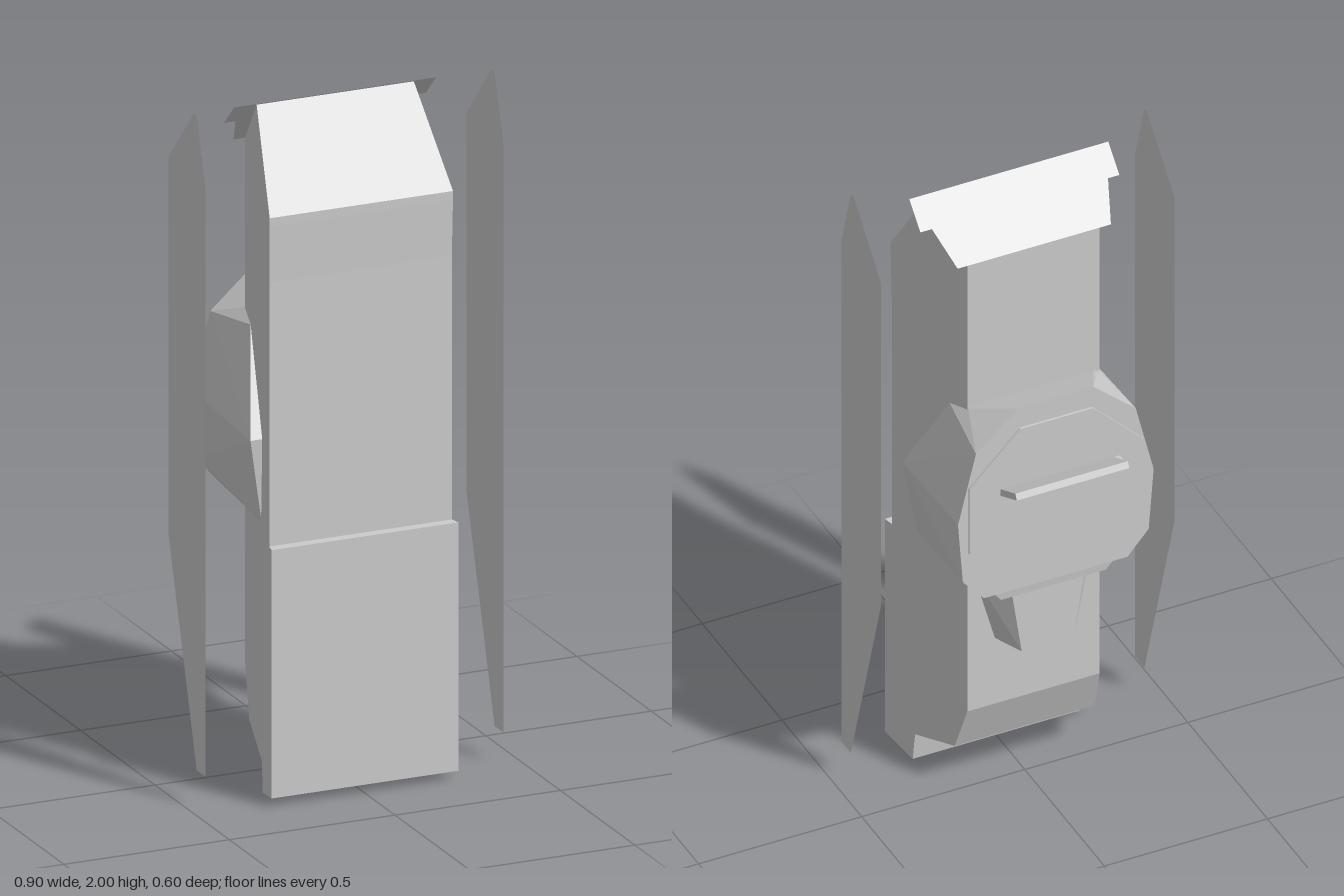
import * as THREE from 'three';
import { ConvexGeometry } from 'three/addons/geometries/ConvexGeometry.js';

const grey = new THREE.MeshStandardMaterial({ color: 0xcccccc, flatShading: true });
const thin = new THREE.MeshStandardMaterial({ color: 0xcccccc, flatShading: true, side: THREE.DoubleSide });

function shapeOf(points) {
  return new THREE.Shape(points.map(([a, b]) => new THREE.Vector2(a, b)));
}

// Convex block from points mirrored across x = 0
function mirroredHull(points) {
  const all = [];
  for (const [x, y, z] of points) {
    all.push(new THREE.Vector3(x, y, z), new THREE.Vector3(-x, y, z));
  }
  return new ConvexGeometry(all);
}

export function createModel() {
  const model = new THREE.Group();
  const add = (name, geometry, material = grey) => {
    const mesh = new THREE.Mesh(geometry, material);
    mesh.name = name;
    model.add(mesh);
    return mesh;
  };

  // Hull: side profile (z, y) whose width narrows towards the back
  const profile = [
    [0.30, 0.025], [0.30, 0.75], [0.27, 0.75], [0.27, 1.52], [0.275, 1.685], [0.275, 1.71],
    [0.10, 1.98], [-0.055, 1.83], [-0.055, 0.30], [0, 0.15], [0.17, 0.09], [0.18, 0],
  ];
  const hull = new THREE.ExtrudeGeometry(shapeOf(profile), { depth: 2, bevelEnabled: false });
  hull.translate(0, 0, -1).rotateY(-Math.PI / 2);
  const pos = hull.attributes.position;
  for (let i = 0; i < pos.count; i++) {
    pos.setX(i, pos.getX(i) * (0.215 + 0.225 * pos.getZ(i)));
  }
  hull.computeVertexNormals();
  add('hull', hull);

  // Roof plate: thin sheet with side tabs, lying on the sloped top
  const roof = new THREE.ShapeGeometry(shapeOf([
    [-0.305, 0.10], [-0.305, 0.03], [-0.27, 0.03], [-0.235, -0.06],
    [0.235, -0.06], [0.27, 0.03], [0.305, 0.03], [0.305, 0.10],
  ]));
  const rp = roof.attributes.position;
  for (let i = 0; i < rp.count; i++) {
    const z = rp.getY(i);
    rp.setXYZ(i, rp.getX(i), 1.982 + (z - 0.10) * 0.968, z);
  }
  roof.computeVertexNormals();
  add('roofPlate', roof, thin);

  // Free-standing flat side panels
  const panel = new THREE.ShapeGeometry(shapeOf([
    [0.23, 0.09], [0.23, 1.80], [0.17, 2], [0.15, 2], [-0.02, 1.82], [-0.02, 0.72], [0.17, 0.09],
  ])).rotateY(-Math.PI / 2);
  for (const [name, x] of [['leftPanel', 0.45], ['rightPanel', -0.45]]) {
    add(name, panel, thin).position.x = x;
  }

  // Faceted rear housing wrapping around the hull sides
  add('rearHousing', mirroredHull([
    [0.115, 1.40, -0.195], [0.245, 1.285, -0.195], [0.30, 1.06, -0.195],
    [0.285, 0.86, -0.195], [0.22, 0.785, -0.195],
    [0.20, 1.335, -0.055], [0.22, 1.31, 0.02], [0.29, 1.03, 0.175], [0.25, 0.785, 0.16],
  ]));

  // Octagonal hatch on the housing
  const hatch = new THREE.CylinderGeometry(0.29, 0.29, 0.01, 8, 1, false, Math.PI / 8);
  add('rearHatch', hatch.rotateX(Math.PI / 2)).position.set(0, 1.065, -0.197);

  // Tilted fin and its side lug
  const fin = add('rearFin', new THREE.BoxGeometry(0.345, 0.02, 0.115));
  fin.position.set(0, 1.158, -0.247);
  fin.rotation.x = 0.46;
  add('finLug', new THREE.BoxGeometry(0.025, 0.02, 0.03)).position.set(-0.18, 1.135, -0.21);

  // Lip under the housing and the tapered block hanging below
  add('housingLip', mirroredHull([
    [0.20, 0.80, -0.185], [0.16, 0.75, -0.18], [0.20, 0.80, -0.10], [0.16, 0.75, -0.12],
  ]));
  add('lowerBlock', mirroredHull([
    [0.12, 0.80, -0.145], [0.20, 0.80, -0.04],
    [0.08, 0.525, -0.145], [0.125, 0.525, -0.04],
  ]));

  return model;
}
